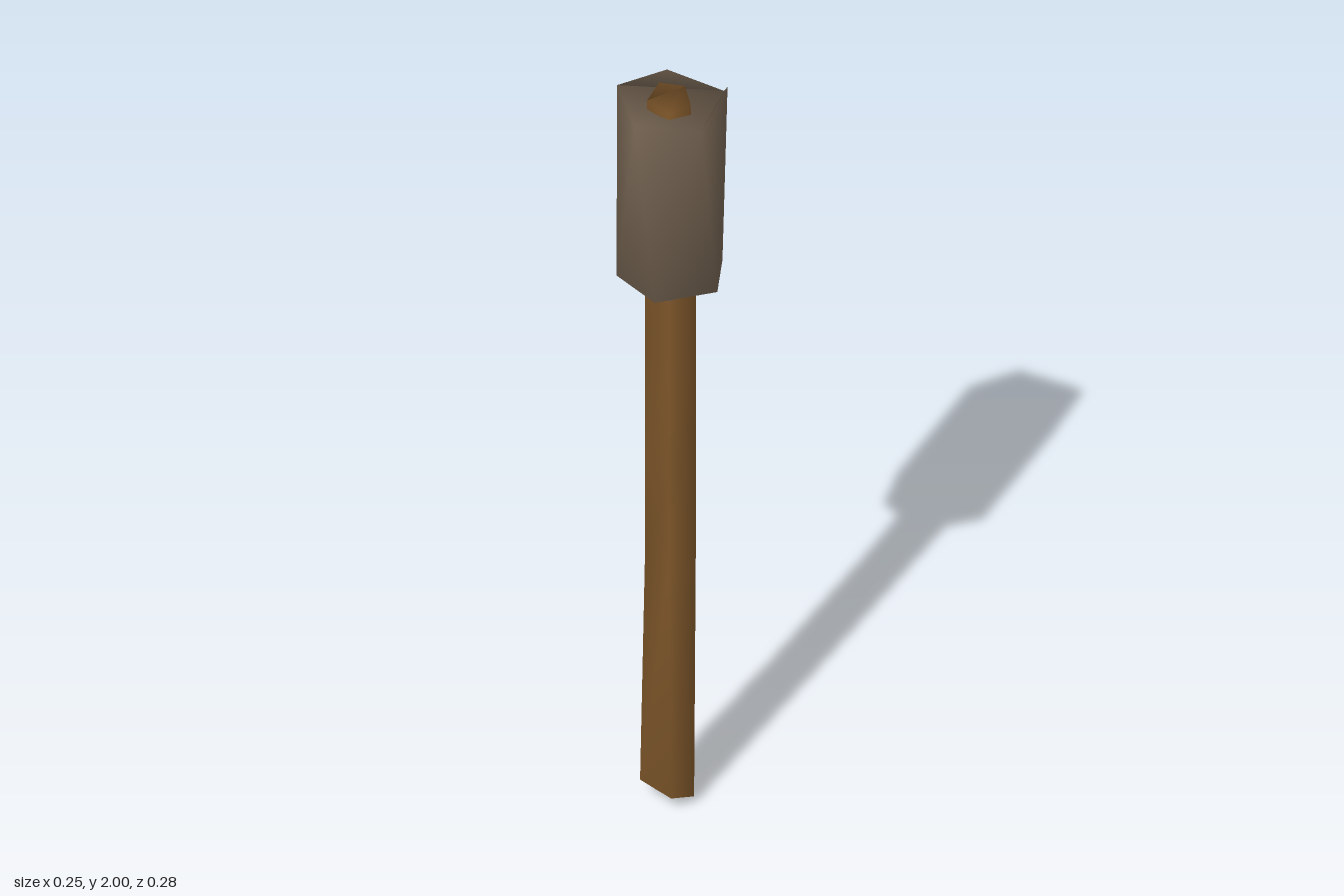
import * as THREE from 'three';

// Skin a stack of rings (each listed clockwise from above, bottom ring first)
// with shared vertices for smooth shading. bandMaterials gives a material index per band.
function loft(rings, bandMaterials) {
  const n = rings[0].length;
  const index = [];
  const geo = new THREE.BufferGeometry();
  const close = (start, material) => geo.addGroup(start, index.length - start, material);

  for (let r = 0; r < rings.length - 1; r++) {
    const start = index.length;
    for (let i = 0; i < n; i++) {
      const j = (i + 1) % n;
      const lo = r * n, up = lo + n;
      index.push(lo + j, lo + i, up + i, lo + j, up + i, up + j);
    }
    close(start, bandMaterials[r]);
  }
  const top = (rings.length - 1) * n;
  const start = index.length;
  for (let i = 1; i < n - 1; i++) {
    index.push(0, i, i + 1);
    index.push(top, top + i + 1, top + i);
  }
  close(start, 0);

  geo.setAttribute('position', new THREE.Float32BufferAttribute(rings.flat(2), 3));
  geo.setIndex(index);
  geo.computeVertexNormals();
  return geo;
}

// Handle section: back, right, front right, front left, left
const section = (y, back, right, left) => [
  [0.005, y, back], [right, y, 0.0], [0.043, y, 0.064], [-0.03, y, 0.065], [left, y, 0.013],
];

export function createModel() {
  const wood = new THREE.MeshStandardMaterial({ color: 0x7c5529 });
  wood.name = 'brown wood';
  const collar = new THREE.MeshStandardMaterial({ color: 0x66594c });
  collar.name = 'grey collar';
  const stone = new THREE.MeshStandardMaterial({ color: 0x6e5e4d });
  stone.name = 'grey brown head';

  const group = new THREE.Group();
  group.name = 'mallet';

  // Crooked five-sided handle running right through the head
  const handleRings = [
    [[0.01, 0.02, -0.055], [0.06, 0.02, 0], [0.045, 0.04, 0.06], [-0.045, 0.05, 0.065], [-0.03, 0, 0.02]],
    section(0.7, -0.032, 0.065, -0.034),
    section(0.95, -0.036, 0.066, -0.033),
    section(1.3, -0.056, 0.066, -0.046),
    section(1.45, -0.055, 0.065, -0.053),
    section(1.52, -0.053, 0.064, -0.053),
    [[0.004, 1.985, -0.031], [0.053, 1.98, 0.004], [0.038, 1.975, 0.06], [-0.024, 1.985, 0.065], [-0.035, 2, 0.012]],
  ];
  const handle = new THREE.Mesh(loft(handleRings, [0, 0, 0, 0, 1, 0]), [wood, collar]);
  handle.name = 'handle';
  group.add(handle);

  // Rough six-sided head, slightly twisted from bottom to top
  const headRings = [
    [[-0.053, 1.485, -0.106], [0.055, 1.48, -0.1], [0.126, 1.48, -0.005],
      [0.056, 1.488, 0.127], [-0.074, 1.49, 0.112], [-0.129, 1.483, 0]],
    [[0.023, 1.92, -0.14], [0.076, 1.985, -0.094], [0.126, 1.965, 0.049],
      [0.006, 1.97, 0.138], [-0.129, 1.965, 0.049], [-0.085, 1.965, -0.069]],
  ];
  const head = new THREE.Mesh(loft(headRings, [0]), [stone]);
  head.name = 'head';
  group.add(head);

  return group;
}
